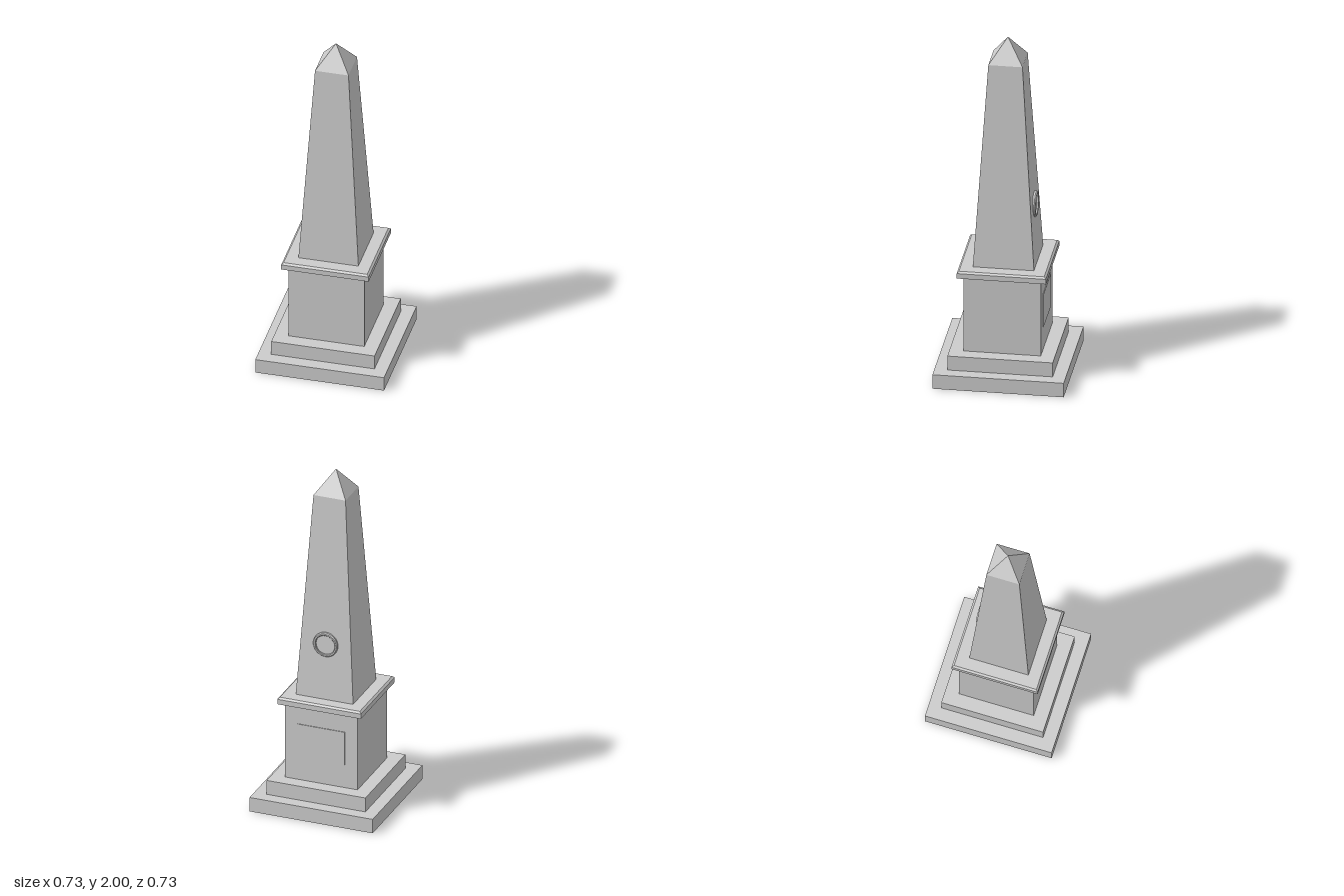
import * as THREE from 'three';

export function createModel() {
  const model = new THREE.Group();
  model.name = 'obelisk';
  const stone = new THREE.MeshStandardMaterial({ color: 0xcccccc });
  stone.name = 'grey stone';

  const add = (name, geometry, x = 0, y = 0, z = 0) => {
    const mesh = new THREE.Mesh(geometry, stone);
    mesh.name = name;
    mesh.position.set(x, y, z);
    model.add(mesh);
    return mesh;
  };

  // Square block or tapered frustum, given half widths at its bottom and top
  const block = (name, bottom, top, y0, y1) => {
    const r = Math.SQRT2;
    const g = new THREE.CylinderGeometry(top * r, bottom * r, y1 - y0, 4, 1)
      .rotateY(Math.PI / 4).toNonIndexed();
    g.computeVertexNormals();
    add(name, g, 0, (y0 + y1) / 2);
  };

  // Stepped base and pedestal
  block('lowerStep', 0.365, 0.365, 0, 0.085);
  block('upperStep', 0.293, 0.293, 0.085, 0.17);
  block('pedestal', 0.215, 0.215, 0.17, 0.625);
  block('cornice', 0.248, 0.248, 0.625, 0.655);
  block('corniceBevel', 0.248, 0.237, 0.655, 0.665);

  // Tapering shaft and pyramid tip
  block('shaft', 0.17, 0.095, 0.665, 1.865);
  block('tip', 0.095, 0, 1.865, 2);

  // Raised plaque on the back of the pedestal
  add('plaque', new THREE.BoxGeometry(0.28, 0.2, 0.008), 0, 0.41, -0.215);

  // Bevelled ring on the back of the shaft, its axis pointing backwards
  const profile = [[0.057, -0.02], [0.057, 0.008], [0.06, 0.011], [0.068, 0.011],
    [0.073, 0.004], [0.073, -0.02]].map(([r, h]) => new THREE.Vector2(r, h)).reverse();
  // Points run so that the faces look outwards
  const ringGeometry = new THREE.LatheGeometry(profile.reverse(), 32)
    .rotateX(-Math.PI / 2).toNonIndexed();
  ringGeometry.computeVertexNormals();
  const ring = add('ring', ringGeometry, 0, 0.992, -0.152);
  ring.material = stone.clone();
  ring.material.side = THREE.DoubleSide;

  return model;
}
